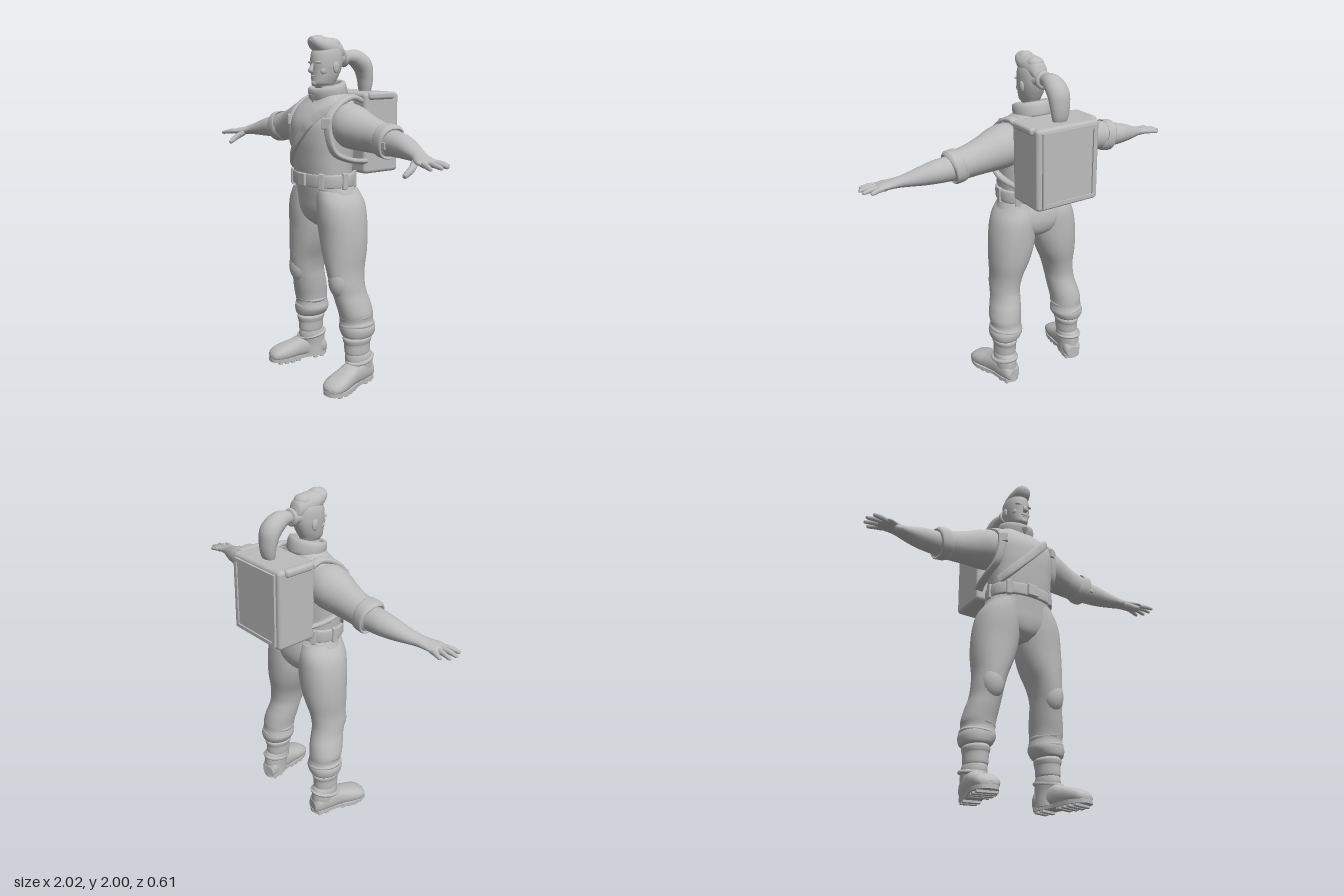
import * as THREE from 'three';
import { RoundedBoxGeometry } from 'three/addons/geometries/RoundedBoxGeometry.js';

const V = (x, y, z) => new THREE.Vector3(x, y, z);
const grey = new THREE.MeshStandardMaterial({ color: 0xbcbcbc });
grey.name = 'plainGrey';

// Skin a closed surface over sections {c, u, v}: superellipse rings, power p (2 = ellipse)
function skin(sections, n = 28, p = 2) {
  const pos = [], idx = [], rows = sections.length;
  const ring = ({ c, u, v }) => {
    for (let j = 0; j < n; j++) {
      const a = (j / n) * Math.PI * 2, co = Math.cos(a), si = Math.sin(a);
      const q = c.clone()
        .addScaledVector(u, Math.sign(co) * Math.abs(co) ** (2 / p))
        .addScaledVector(v, Math.sign(si) * Math.abs(si) ** (2 / p));
      pos.push(q.x, q.y, q.z);
    }
  };
  sections.forEach(ring);
  for (let i = 0; i < rows - 1; i++) for (let j = 0; j < n; j++) {
    const k = (j + 1) % n, a = i * n + j, b = i * n + k;
    idx.push(a, b, a + n, b, b + n, a + n);
  }
  [0, rows - 1].forEach((r, end) => {
    const base = pos.length / 3, c = sections[r].c;
    ring(sections[r]);
    pos.push(c.x, c.y, c.z);
    for (let j = 0; j < n; j++) {
      const k = (j + 1) % n;
      idx.push(base + n, base + (end ? j : k), base + (end ? k : j));
    }
  });
  const g = new THREE.BufferGeometry();
  g.setAttribute('position', new THREE.Float32BufferAttribute(pos, 3));
  g.setIndex(idx);
  g.computeVertexNormals();
  return g;
}

// Smooth path through rows [x, y, z, ru, rv]; ru lies along ref, rv across it
function limb(rows, ref, { n = 20, p = 2, sub = 5, dir = null } = {}) {
  const path = new THREE.CatmullRomCurve3(rows.map(r => V(r[0], r[1], r[2])), false, 'catmullrom');
  const size = new THREE.CatmullRomCurve3(rows.map(r => V(r[3], r[4], 0)), false, 'catmullrom');
  const steps = (rows.length - 1) * sub, out = [];
  for (let i = 0; i <= steps; i++) {
    const t = i / steps, c = path.getPoint(t), s = size.getPoint(t);
    const d = dir || path.getTangent(t);
    const u = (typeof ref === 'function' ? ref(c) : ref).clone();
    u.addScaledVector(d, -u.dot(d)).normalize();
    const v = d.clone().cross(u);
    out.push({ c, u: u.multiplyScalar(Math.max(s.x, 0.001)), v: v.multiplyScalar(Math.max(s.y, 0.001)) });
  }
  return skin(out, n, p);
}
const UP = V(0, 1, 0), FWD = V(0, 0, 1);
// Upright body of level rings from rows [y, cx, cz, rx, rz]
const column = (rows, o = {}) =>
  limb(rows.map(([y, x, z, rx, rz]) => [x, y, z, rz, rx]), FWD, { n: 32, dir: UP, ...o });

function flipX(g) {
  const m = g.clone().scale(-1, 1, 1), a = m.index.array;
  for (let i = 0; i < a.length; i += 3) [a[i], a[i + 1]] = [a[i + 1], a[i]];
  m.computeVertexNormals();
  return m;
}
const indexed = g => {
  if (!g.index) g.setIndex([...Array(g.attributes.position.count).keys()]);
  return g;
};
const ball = (x, y, z, rx, ry, rz) =>
  new THREE.SphereGeometry(1, 20, 14).scale(rx, ry, rz).translate(x, y, z);
const block = (x, y, z, w, h, d, r = 0.008) => new RoundedBoxGeometry(w, h, d, 2, r).translate(x, y, z);

// Torso rings, also used to lay the sash on the chest
const TORSO = [[1.19, 0, .1, .188, .132], [1.27, 0, .105, .193, .138], [1.35, 0, .105, .198, .145],
  [1.43, 0, .105, .205, .15], [1.52, 0, .1, .21, .148], [1.59, 0, .08, .205, .13],
  [1.64, 0, .062, .17, .105], [1.68, 0, .055, .11, .085], [1.72, 0, .055, .07, .07]];
function chestZ(x, y) {
  const i = Math.max(0, TORSO.findIndex(r => r[0] > y) - 1), a = TORSO[i], b = TORSO[i + 1];
  const [, , cz, rx, rz] = a.map((s, k) => THREE.MathUtils.lerp(s, b[k], (y - a[0]) / (b[0] - a[0])));
  return cz + rz * Math.max(0, 1 - Math.abs(x / rx) ** 2.4) ** (1 / 2.4);
}

export function createModel() {
  const model = new THREE.Group();
  model.name = 'adventurer';
  const add = (name, g) => {
    const m = new THREE.Mesh(g, grey);
    m.name = name;
    model.add(m);
  };
  const pair = (name, g) => {
    add(name + 'Left', indexed(g));
    add(name + 'Right', flipX(g));
  };

  // Torso and hips
  add('torso', column(TORSO, { p: 2.4 }));
  add('hips', column([[.93, 0, .08, .07, .07], [.97, 0, .075, .14, .12], [1.03, 0, .073, .225, .142],
    [1.1, 0, .078, .225, .145], [1.18, 0, .095, .195, .137]], { p: 2.2 }));

  // Belt, buckle and belt loops
  add('belt', column([[1.17, 0, .1, .196, .136], [1.175, 0, .1, .204, .144], [1.21, 0, .1, .207, .146],
    [1.24, 0, .1, .204, .144], [1.245, 0, .1, .194, .136]], { p: 2.4 }));
  add('beltBuckle', block(0, 1.208, .246, .07, .075, .022));
  [[.14, .214, .55], [.203, .1, 1.57], [.15, -.012, 2.5]].forEach(([x, z, a]) =>
    pair('beltLoop', new RoundedBoxGeometry(.032, .092, .022, 2, .006).rotateY(a).translate(x, 1.207, z)));

  // Trousers gathered above the boots, with knee pads
  pair('trouserLeg', column([[.295, .235, .03, .06, .07], [.305, .235, .027, .083, .096],
    [.345, .228, .026, .099, .106], [.38, .225, .028, .092, .1], [.4, .224, .03, .089, .098],
    [.44, .224, .035, .092, .102], [.5, .214, .048, .09, .105], [.56, .203, .064, .085, .104],
    [.62, .197, .078, .085, .108], [.7, .184, .08, .093, .118], [.8, .165, .073, .118, .132],
    [.9, .15, .07, .132, .14], [1, .14, .073, .131, .146], [1.08, .13, .076, .118, .144],
    [1.15, .11, .085, .09, .13]], { p: 2.15 }));
  pair('kneePad', ball(.2, .635, .137, .066, .098, .06));
  [[.415, .224, .032, .094, .1], [.365, .226, .027, .099, .106]].forEach(([y, x, z, rx, rz]) =>
    pair('trouserFold', new THREE.TorusGeometry(1, .11, 8, 32).rotateX(Math.PI / 2)
      .scale(rx * .9, .12, rz * .9).rotateZ(.12).translate(x, y, z)));

  // Boots
  pair('bootCuff', column([[.19, .235, .03, .055, .07], [.2, .235, .03, .064, .08], [.25, .234, .03, .066, .083],
    [.265, .234, .03, .07, .088], [.285, .234, .03, .073, .091], [.3, .234, .03, .062, .08]]));
  pair('bootShaft', column([[.03, .232, .01, .056, .075], [.1, .238, .012, .062, .08],
    [.15, .238, .02, .065, .087], [.18, .237, .022, .064, .086], [.21, .236, .03, .055, .07]]));
  const turn = g => g.rotateY(.21).translate(.24, 0, 0);
  pair('bootFoot', turn(limb([[0, .06, -.07, .04, .035], [0, .075, -.045, .055, .058], [0, .085, .02, .06, .07],
    [0, .085, .09, .06, .066], [0, .073, .15, .065, .055], [0, .063, .21, .071, .048], [0, .055, .26, .066, .038],
    [0, .048, .29, .048, .025], [0, .045, .302, .015, .01]], V(1, 0, 0), { n: 24, p: 2.4, dir: FWD })));
  pair('bootStrap', turn(new THREE.TorusGeometry(.066, .012, 8, 28).rotateX(Math.PI / 2 + .2)
    .scale(1, 1, 1.25).translate(0, .155, .02)));
  const outline = new THREE.Shape();
  outline.setFromPoints(new THREE.SplineCurve([[.05, -.05], [.054, 0], [.052, .08], [.07, .17], [.071, .23],
    [.045, .29], [0, .305], [-.045, .29], [-.068, .23], [-.066, .17], [-.05, .08], [-.053, 0], [-.05, -.05],
    [0, -.075], [.05, -.05]].map(q => new THREE.Vector2(q[0], -q[1]))).getPoints(60));
  pair('bootSole', turn(new THREE.ExtrudeGeometry(outline, { depth: .022, bevelEnabled: false })
    .rotateX(-Math.PI / 2).translate(0, .014, 0)));
  [[-.035, .09], [.01, .1], [.13, .11], [.17, .125], [.21, .13], [.25, .115]].forEach(([z, w]) =>
    pair('soleTread', turn(block(0, .011, z, w, .022, .026, .003))));

  // Sleeves, cuffs, bare forearms
  pair('sleeve', limb([[.08, 1.53, .06, .09, .09], [.16, 1.52, .06, .118, .115], [.23, 1.505, .06, .12, .12],
    [.32, 1.486, .055, .104, .1], [.4, 1.472, .05, .092, .086], [.5, 1.455, .05, .082, .08]], UP, { n: 28 }));
  pair('sleeveCuff', limb([[.474, 1.46, .05, .078, .075], [.478, 1.459, .05, .09, .087], [.507, 1.456, .05, .092, .09],
    [.533, 1.452, .05, .09, .087], [.538, 1.451, .05, .07, .07]], UP, { n: 28, p: 2.3 }));
  add('cuffTab', block(.546, 1.44, .118, .03, .04, .014, .004));
  pair('forearm', limb([[.5, 1.45, .05, .07, .068], [.6, 1.445, .055, .065, .067], [.68, 1.433, .07, .053, .058],
    [.75, 1.42, .09, .038, .048], [.8, 1.411, .108, .029, .042], [.85, 1.402, .128, .023, .052],
    [.895, 1.397, .142, .018, .06], [.925, 1.393, .15, .008, .045]], UP, { n: 24 }));

  // Fingers and thumb
  [[[.89, 1.395, .098], [.93, 1.395, .088], [.965, 1.387, .08]],
    [[.9, 1.396, .125], [.95, 1.395, .12], [.995, 1.387, .115]],
    [[.9, 1.396, .152], [.95, 1.395, .157], [1, 1.386, .16]],
    [[.89, 1.394, .178], [.94, 1.391, .195], [.98, 1.383, .208]],
    [[.81, 1.395, .145], [.835, 1.365, .19], [.835, 1.335, .235]]].forEach(([a, b, c], i) => {
    const r = i === 4 ? .018 : .0135;
    pair(i === 4 ? 'thumb' : 'finger', limb([[...a, r, r], [...b, r, r], [...c, r * .7, r * .7],
      [c[0] + (c[0] - b[0]) * .1, c[1] - .002, c[2] + (c[2] - b[2]) * .1, .002, .002]], UP, { n: 10, sub: 3 }));
  });

  // Collar, tipped forward, with a clasp
  const collar = [[.078, -.035], [.1, -.045], [.113, -.03], [.113, .015], [.108, .036], [.095, .042],
    [.08, .034], [.072, 0], [.078, -.035]].map(q => new THREE.Vector2(...q));
  add('collar', new THREE.LatheGeometry(collar, 40).scale(1, 1, .96).rotateX(.24).translate(0, 1.692, .066));
  add('collarClasp', new THREE.ConeGeometry(.024, .05, 4).rotateX(Math.PI).translate(0, 1.65, .17));

  // Head and face
  add('head', column([[1.62, 0, .05, .06, .06], [1.69, 0, .055, .054, .06], [1.72, 0, .085, .04, .065],
    [1.738, 0, .095, .049, .071], [1.77, 0, .087, .06, .08], [1.81, 0, .078, .068, .09],
    [1.85, 0, .074, .072, .097], [1.9, 0, .072, .069, .094], [1.935, 0, .07, .056, .075],
    [1.955, 0, .07, .03, .04], [1.96, 0, .07, .005, .005]], { p: 2.2 }));
  add('nose', limb([[0, 1.848, .162, .008, .008], [0, 1.825, .175, .011, .012], [0, 1.806, .182, .013, .016],
    [0, 1.797, .168, .006, .01]], FWD, { n: 10 }));
  pair('brow', ball(.03, 1.852, .155, .028, .008, .014));
  pair('eye', ball(.03, 1.836, .151, .013, .007, .009));
  pair('cheek', ball(.04, 1.805, .125, .022, .025, .025));
  add('upperLip', ball(0, 1.778, .163, .022, .005, .008));
  add('lowerLip', ball(0, 1.766, .161, .017, .006, .008));
  add('chin', ball(0, 1.738, .156, .022, .018, .016));
  pair('ear', ball(.072, 1.825, .06, .01, .032, .02));

  // Swept-up crest of hair
  add('hairCrest', limb([[0, 1.885, -.03, .035, .03], [0, 1.908, -.01, .052, .048], [0, 1.922, .05, .062, .06],
    [0, 1.935, .11, .055, .062], [0, 1.953, .155, .042, .052], [0, 1.963, .177, .027, .036],
    [0, 1.966, .186, .006, .01]], UP, { n: 24, dir: FWD }));
  add('hairQuiff', ball(0, 1.965, .13, .045, .035, .048));
  add('hairRoll', ball(0, 1.948, .035, .048, .037, .05));

  // Bound ponytail arching down to the pack
  add('ponytail', limb([[0, 1.87, 0, .048, .05], [0, 1.872, -.045, .032, .034], [0, 1.878, -.09, .04, .043],
    [0, 1.87, -.135, .05, .055], [0, 1.83, -.185, .054, .062], [0, 1.77, -.203, .043, .058],
    [0, 1.715, -.205, .036, .05], [0, 1.675, -.2, .026, .04]], c => c.clone().sub(V(0, 1.73, -.05)), { n: 22 }));
  add('hairTie', new THREE.TorusGeometry(.036, .014, 10, 24).translate(0, 1.872, -.045));

  // Backpack with a framed rear panel
  add('backpack', block(0, 1.458, -.169, .4, .455, .25, .022));
  const rect = (C, w, h) => new C([[-w, -h], [w, -h], [w, h], [-w, h]].map(q => new THREE.Vector2(...q)));
  const frame = rect(THREE.Shape, .172, .207);
  frame.holes.push(rect(THREE.Path, .152, .187));
  add('packFrame', new THREE.ExtrudeGeometry(frame, { depth: .014, bevelEnabled: false }).translate(0, 1.458, -.307));
  add('packPanel', block(0, 1.458, -.293, .31, .38, .01, .002));
  pair('packEdgeGuard', block(.193, 1.668, -.16, .046, .042, .185, .016));

  // Shoulder straps and the sash across the chest
  const mid = V(.16, 1.5, .06);
  pair('shoulderStrap', limb([[.16, 1.64, -.06], [.165, 1.665, .02], [.172, 1.635, .11], [.178, 1.56, .19],
    [.185, 1.46, .195], [.197, 1.37, .165], [.208, 1.33, .09], [.2, 1.31, 0], [.18, 1.3, -.06]]
    .map(q => [...q, .014, .024]), c => c.clone().sub(mid).setX(.04), { n: 16, p: 3 }));
  pair('strapBuckle', new RoundedBoxGeometry(.055, .06, .025, 2, .006).rotateY(.6).translate(.178, 1.53, .205));
  const sash = [];
  for (let i = 0; i <= 12; i++) {
    const x = .18 - i * .03, y = 1.64 - i * .0315;
    sash.push([x, y, chestZ(x, y) + .003, .014, .026]);
  }
  add('chestSash', limb(sash, c => V(c.x, 0, c.z - .04), { n: 16, p: 3 }));

  return model;
}
